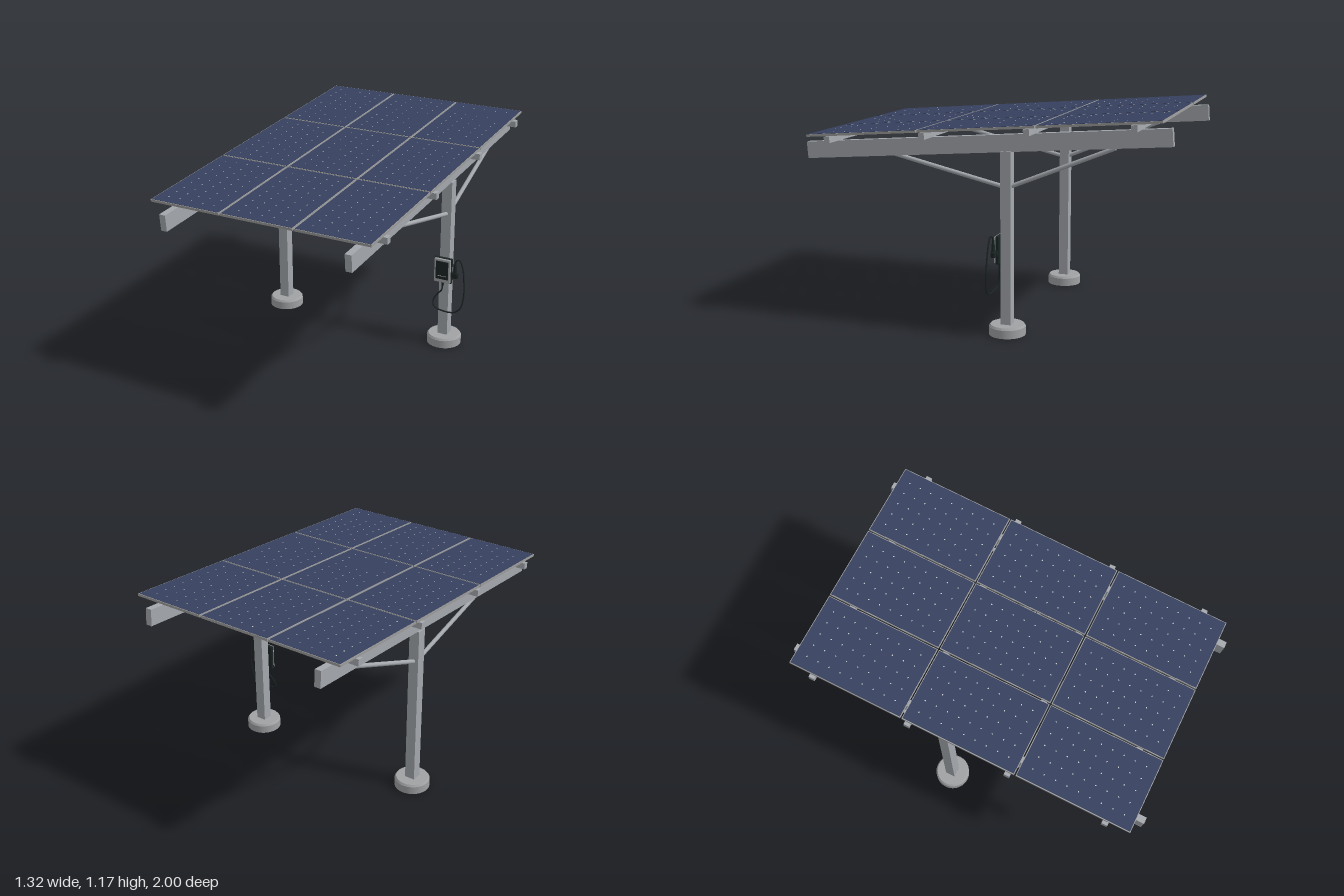
import * as THREE from 'three';
import { mergeGeometries } from 'three/addons/utils/BufferGeometryUtils.js';
import { RoundedBoxGeometry } from 'three/addons/geometries/RoundedBoxGeometry.js';

const material = (name, color) => {
  const m = new THREE.MeshStandardMaterial({ color });
  m.name = name;
  return m;
};

export function createModel() {
  const steel = material('galvanised steel', 0xa4a8ad);
  const concrete = material('concrete', 0xa0a2a4);
  const backing = material('panel frame', 0x9c9c9c);
  const cells = material('solar cells', 0x36415f);
  const pale = material('pale marks', 0xc4c6c4);
  const dark = material('dark plastic', 0x1b2524);
  const casing = material('charger casing', 0xa0a4a7);

  const model = new THREE.Group();
  model.name = 'solarCanopy';
  const add = (parent, name, geometry, mat, x = 0, y = 0, z = 0) => {
    const mesh = new THREE.Mesh(geometry, mat);
    mesh.name = name;
    mesh.position.set(x, y, z);
    parent.add(mesh);
    return mesh;
  };
  const box = (w, h, d) => new THREE.BoxGeometry(w, h, d);
  const V = (x, y, z) => new THREE.Vector3(x, y, z);

  // round bar between two points
  const bar = (name, a, b, r, mat) => {
    const mesh = add(model, name, new THREE.CylinderGeometry(r, r, a.distanceTo(b), 16), mat);
    mesh.position.copy(a).add(b).multiplyScalar(0.5);
    mesh.quaternion.setFromUnitVectors(V(0, 1, 0), b.clone().sub(a).normalize());
  };

  const midX = -0.013, postX = 0.528, postZ = -0.145;

  // sloping roof: rafters, purlins and panels share one tilted frame
  const roof = new THREE.Group();
  roof.name = 'roof';
  roof.position.set(midX, 1.0025, 0);
  roof.rotation.x = 0.08;
  model.add(roof);

  for (const side of [-1, 1]) {
    const x = midX + side * postX;
    // footing with a chamfered rim
    add(model, 'footing', new THREE.CylinderGeometry(0.097, 0.097, 0.045, 40), concrete, x, 0.0225, postZ);
    add(model, 'footingRim', new THREE.CylinderGeometry(0.089, 0.097, 0.011, 40), concrete, x, 0.0505, postZ);
    add(model, 'post', box(0.058, 0.917, 0.056), steel, x, 0.5145, postZ);
    // diagonal braces
    bar('frontBrace', V(x, 0.782, postZ), V(x, 0.925, 0.48), 0.0115, steel);
    bar('backBrace', V(x, 0.782, postZ), V(x, 1.015, -0.71), 0.0115, steel);
    add(roof, 'rafter', box(0.036, 0.09, 1.999), steel, side * postX, 0, 0);
  }

  for (const z of [-0.836, -0.291, 0.275, 0.82])
    add(roof, 'purlin', box(1.295, 0.035, 0.032), steel, 0, 0.0625, z);

  // panel: framed slab, blue cell face and pale diamonds between the cells
  const panelW = 0.413, panelL = 0.636;
  const slab = box(panelW, 0.013, panelL);
  const face = box(panelW - 0.008, 0.002, panelL - 0.008);
  const diamonds = [];
  for (let i = 1; i < 6; i++)
    for (let j = 1; j < 10; j++)
      diamonds.push(new THREE.CircleGeometry(0.0045, 4).rotateX(-Math.PI / 2)
        .translate((i / 6 - 0.5) * panelW, 0, (j / 10 - 0.5) * panelL));
  const diamondGrid = mergeGeometries(diamonds);
  for (let col = -1; col <= 1; col++)
    for (let row = -1; row <= 1; row++) {
      const panel = new THREE.Group();
      panel.name = 'solarPanel';
      panel.position.set(col * 0.421 - 0.002, 0.0865, row * 0.6435 - 0.01);
      roof.add(panel);
      add(panel, 'panelFrame', slab, backing);
      add(panel, 'cellFace', face, cells, 0, 0.0065, 0);
      add(panel, 'cellGaps', diamondGrid, pale, 0, 0.0079, 0);
    }

  // wall charger on the left post
  const charger = new THREE.Group();
  charger.name = 'charger';
  charger.position.set(0.514, 0.459, -0.117);
  model.add(charger);
  add(charger, 'chargerBack', new RoundedBoxGeometry(0.106, 0.15, 0.02, 2, 0.006), dark, 0, 0, 0.01);
  add(charger, 'chargerCasing', new RoundedBoxGeometry(0.098, 0.142, 0.024, 2, 0.006), casing, 0, 0, 0.018);
  add(charger, 'chargerScreen', box(0.074, 0.106, 0.004), dark, 0, 0.004, 0.031);
  add(charger, 'screenStripe', box(0.046, 0.003, 0.001), pale, 0, -0.03, 0.0334);
  add(charger, 'cableGland', new THREE.CylinderGeometry(0.008, 0.006, 0.022, 16), dark, 0, -0.085, 0.015);

  // plug resting in its holder beside the charger
  add(charger, 'plugHolder', box(0.03, 0.022, 0.018), dark, 0.058, -0.012, 0.014);
  add(charger, 'plugHead', new RoundedBoxGeometry(0.038, 0.032, 0.024, 2, 0.006), dark, 0.075, -0.016, 0.02);
  add(charger, 'plugHandle', new THREE.CylinderGeometry(0.006, 0.011, 0.065, 16), dark, 0.076, 0.028, 0.022);

  // hanging cable
  const path = new THREE.CatmullRomCurve3([
    V(0.59, 0.51, -0.095), V(0.596, 0.535, -0.092), V(0.618, 0.541, -0.089), V(0.638, 0.5, -0.086),
    V(0.65, 0.42, -0.082), V(0.653, 0.34, -0.078), V(0.638, 0.265, -0.073), V(0.6, 0.231, -0.07),
    V(0.53, 0.227, -0.07), V(0.478, 0.241, -0.075), V(0.469, 0.275, -0.082), V(0.488, 0.312, -0.092),
    V(0.51, 0.338, -0.099), V(0.514, 0.37, -0.102),
  ]);
  add(model, 'chargingCable', new THREE.TubeGeometry(path, 90, 0.0042, 8), dark);

  return model;
}
